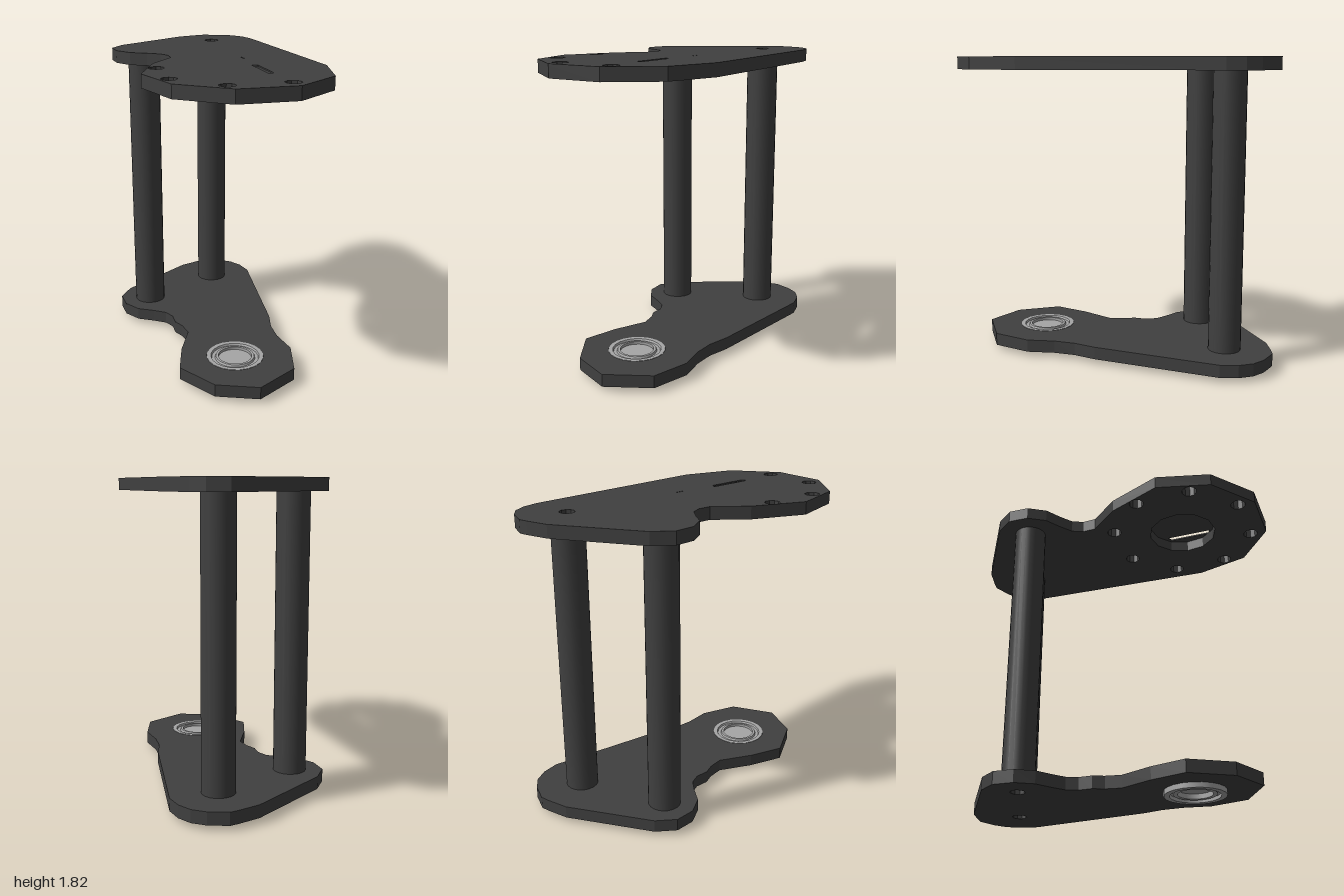
import * as THREE from 'three';

const dark = new THREE.MeshStandardMaterial({ color: 0x404040, side: THREE.DoubleSide });
const steel = new THREE.MeshStandardMaterial({ color: 0xa6a6a6, side: THREE.DoubleSide });

const HUB = [0.07, 0.48];
const POSTS = [[0.075, -0.715], [-0.39, -0.4]];
const BORE = 0.045;

// Shared rear lobe of both plates, as [x, z], running from left to right side
const rearLobe = [
  [-0.25, 0.0], [-0.26, -0.08], [-0.3, -0.14], [-0.38, -0.18], [-0.48, -0.22],
  [-0.56, -0.31], [-0.585, -0.43], [-0.525, -0.55], [-0.12, -0.92], [0, -0.98],
  [0.05, -1], [0.17, -0.98], [0.25, -0.94], [0.31, -0.87], [0.35, -0.77],
];
const topFront = [
  [0.58, 0.38], [0.54, 0.71], [0.31, 0.95], [-0.02, 0.995], [-0.31, 0.83],
  [-0.445, 0.53], [-0.365, 0.2],
];
const bottomFront = [
  [0.37, 0], [0.355, 0.14], [0.37, 0.27], [0.42, 0.43], [0.39, 0.67], [0.16, 0.85],
  [-0.09, 0.79], [-0.27, 0.58], [-0.24, 0.36], [-0.18, 0.15], [-0.21, 0.06],
];

const toVec = ([x, z]) => new THREE.Vector2(x, -z);

function circle([x, z], r, sides = 10) {
  return Array.from({ length: sides }, (_, i) => {
    const a = ((i + 0.5) / sides) * Math.PI * 2;
    return [x + r * Math.cos(a), z + r * Math.sin(a)];
  });
}

// Flat plate lying in xz with polygonal holes
function plate(name, outline, holes, y0, y1) {
  const shape = new THREE.Shape(outline.map(toVec));
  shape.holes = holes.map((h) => new THREE.Path(h.map(toVec)));
  const geo = new THREE.ExtrudeGeometry(shape, { depth: y1 - y0, bevelEnabled: false });
  geo.rotateX(-Math.PI / 2);
  geo.translate(0, y0, 0);
  const mesh = new THREE.Mesh(geo, dark);
  mesh.name = name;
  return mesh;
}

// Turned part with hard edges: each profile segment is its own lathe
function turned(name, profile, [x, z], material, sides) {
  const group = new THREE.Group();
  group.name = name;
  for (let i = 0; i < profile.length - 1; i++) {
    const pts = [profile[i], profile[i + 1]].map(([r, y]) => new THREE.Vector2(r, y));
    group.add(new THREE.Mesh(new THREE.LatheGeometry(pts, sides), material));
  }
  group.position.set(x, 0, z);
  return group;
}

export function createModel() {
  const model = new THREE.Group();

  // Bolt circle around the hub of the top plate
  const bolts = Array.from({ length: 8 }, (_, i) => {
    const a = ((60 + 45 * i) * Math.PI) / 180;
    return circle([0.07 + 0.44 * Math.cos(a), 0.47 + 0.44 * Math.sin(a)], BORE);
  });
  const postHoles = POSTS.map((p) => circle(p, BORE));

  // Top plate: pocketed body under a thin skin with only some holes open
  const topOutline = [...rearLobe, ...topFront];
  const pocket = circle([0.07, 0.47], 0.21, 12);
  const slot = [[0.17, 0.32], [0.205, 0.33], [0.245, 0.58], [0.215, 0.6]];
  const sliver = [[0.152, 0.03], [0.158, 0.03], [0.172, 0.095], [0.166, 0.095]];
  const top = new THREE.Group();
  top.name = 'topPlate';
  top.add(
    plate('topPlateBody', topOutline, [...bolts, ...postHoles, pocket], 1.74, 1.807),
    plate('topPlateSkin', topOutline, [...bolts.slice(0, 4), postHoles[0], slot, sliver], 1.807, 1.815),
  );
  model.add(top);

  // Bottom plate with bearing seat
  model.add(plate('bottomPlate', [...rearLobe, ...bottomFront],
    [...postHoles, circle(HUB, 0.17, 20)], 0.03, 0.105));

  // Hollow posts joining the plates
  for (const p of POSTS) {
    model.add(turned('post', [[BORE, 0.105], [0.097, 0.105], [0.097, 1.74], [BORE, 1.74], [BORE, 0.105]],
      p, dark, 20));
  }

  // Bearing: flanged outer ring, groove and recessed centre disc
  model.add(turned('bearing', [
    [0, 0.04], [0.1, 0.04], [0.1, 0.01], [0.125, 0.01], [0.125, 0.02], [0.145, 0.02],
    [0.145, 0], [0.178, 0], [0.178, 0.03], [0.17, 0.03], [0.17, 0.107], [0.145, 0.107],
    [0.14, 0.095], [0.12, 0.095], [0.115, 0.107], [0.1, 0.107], [0.1, 0.09], [0, 0.09],
  ], HUB, steel, 20));

  return model;
}
